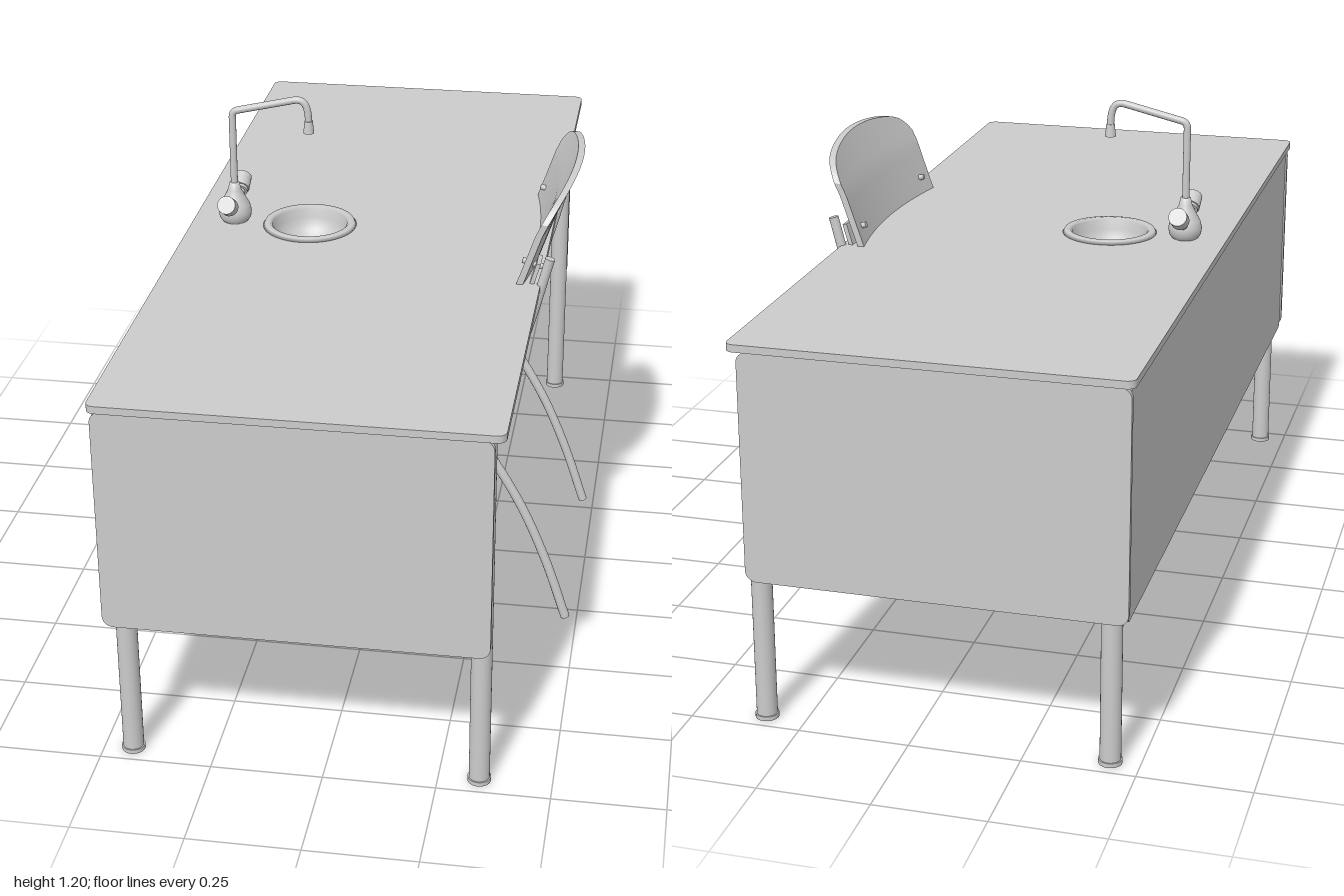
import * as THREE from 'three';

const mat = new THREE.MeshStandardMaterial({ color: 0xcccccc });
const matDouble = new THREE.MeshStandardMaterial({ color: 0xcccccc, side: THREE.DoubleSide });
const V = (x, y, z) => new THREE.Vector3(x, y, z);

function add(parent, name, geometry, x = 0, y = 0, z = 0, material = mat) {
  const mesh = new THREE.Mesh(geometry, material);
  mesh.name = name;
  mesh.position.set(x, y, z);
  parent.add(mesh);
  return mesh;
}

// Flat board with rounded corners, centred in its plane, extruded along z
function board(w, h, r, depth, hole) {
  const s = new THREE.Shape();
  const a = w / 2, b = h / 2;
  s.moveTo(-a + r, -b);
  s.lineTo(a - r, -b);
  s.absarc(a - r, -b + r, r, -Math.PI / 2, 0);
  s.absarc(a - r, b - r, r, 0, Math.PI / 2);
  s.absarc(-a + r, b - r, r, Math.PI / 2, Math.PI);
  s.absarc(-a + r, -b + r, r, Math.PI, Math.PI * 1.5);
  if (hole) s.holes.push(new THREE.Path().absarc(hole.x, hole.y, hole.r, 0, Math.PI * 2, true));
  return new THREE.ExtrudeGeometry(s, { depth, bevelEnabled: false, curveSegments: hole ? 24 : 8 });
}

// Round bar between two points
function rod(parent, name, from, to, r) {
  const dir = to.clone().sub(from);
  const mesh = add(parent, name, new THREE.CylinderGeometry(r, r, dir.length(), 20));
  mesh.position.copy(from).addScaledVector(dir, 0.5);
  mesh.quaternion.setFromUnitVectors(V(0, 1, 0), dir.normalize());
  return mesh;
}

// Bent tube with closed ends through points [x, y] at constant z
function bentTube(parent, name, pts, z, r) {
  const curve = new THREE.CatmullRomCurve3(pts.map(([x, y]) => V(x, y, z)), false, 'centripetal');
  const g = new THREE.Group();
  g.name = name;
  add(g, 'tube', new THREE.TubeGeometry(curve, 64, r, 14));
  for (const t of [0, 1]) {
    const d = curve.getTangent(t).multiplyScalar(t ? 0.002 : -0.002);
    rod(g, 'endCap', curve.getPoint(t), curve.getPoint(t).add(d), r);
  }
  parent.add(g);
}

// Unit box whose vertices are moved by rule(a, b, c), each in -1..1
function moulded(segs, rule) {
  const g = new THREE.BoxGeometry(2, 2, 2, ...segs);
  const p = g.attributes.position;
  for (let i = 0; i < p.count; i++) p.setXYZ(i, ...rule(p.getX(i), p.getY(i), p.getZ(i)));
  g.computeVertexNormals();
  return g;
}
const { lerp } = THREE.MathUtils;
const ease = (t) => Math.sin(t * Math.PI / 2);

function makeDesk() {
  const desk = new THREE.Group();
  desk.name = 'desk';
  const top = board(0.87, 2, 0.02, 0.017, { x: -0.15, y: 0, r: 0.096 });
  top.rotateX(-Math.PI / 2);
  add(desk, 'tableTop', top, -0.05, 0.862, 0);

  for (const s of [1, -1]) {
    add(desk, 'sidePanel', board(0.84, 0.522, 0.025, 0.013), -0.058, 0.601, s * 0.986 - 0.0065);
    for (const x of [-0.435, 0.34]) {
      add(desk, 'leg', new THREE.CylinderGeometry(0.023, 0.023, 0.852, 28), x, 0.436, s * 0.955);
      add(desk, 'legFoot', new THREE.CylinderGeometry(0.026, 0.026, 0.01, 28), x, 0.005, s * 0.955);
    }
  }
  const back = board(1.956, 0.522, 0.012, 0.015);
  back.rotateY(Math.PI / 2);
  add(desk, 'backPanel', back, -0.474, 0.601, 0);
  return desk;
}

function makeSink() {
  const sink = new THREE.Group();
  sink.name = 'sink';
  const profile = [[0, 0.792], [0.022, 0.794], [0.05, 0.806], [0.078, 0.832], [0.088, 0.86], [0.09, 0.882],
    [0.096, 0.888], [0.108, 0.887], [0.113, 0.879], [0.096, 0.876], [0.094, 0.858], [0.083, 0.828],
    [0.053, 0.8], [0.023, 0.786], [0, 0.786]];
  add(sink, 'basin', new THREE.LatheGeometry(profile.map(([r, y]) => new THREE.Vector2(r, y)), 48), 0, 0, 0, matDouble);
  add(sink, 'drain', new THREE.CylinderGeometry(0.018, 0.018, 0.006, 24), 0, 0.796, 0);
  add(sink, 'drainColumn', new THREE.CylinderGeometry(0.023, 0.023, 0.786, 28), 0, 0.398, 0);
  add(sink, 'columnFoot', new THREE.CylinderGeometry(0.025, 0.025, 0.01, 28), 0, 0.005, 0);
  sink.position.x = -0.2;
  return sink;
}

function makeTap() {
  const tap = new THREE.Group();
  tap.name = 'tap';
  const body = [[0, 0.878], [0.03, 0.878], [0.038, 0.89], [0.04, 0.905], [0.036, 0.922], [0.025, 0.942],
    [0.016, 0.96], [0.012, 0.978], [0, 0.978]];
  add(tap, 'tapBody', new THREE.LatheGeometry(body.map(([r, y]) => new THREE.Vector2(r, y)), 32));

  // Swan neck: upright, gently rising arm, hook down
  const neck = new THREE.CurvePath();
  neck.add(new THREE.LineCurve3(V(0, 0.97, 0), V(0, 1.145, 0)));
  neck.add(new THREE.QuadraticBezierCurve3(V(0, 1.145, 0), V(0, 1.16, 0), V(0.014, 1.163, 0)));
  neck.add(new THREE.LineCurve3(V(0.014, 1.163, 0), V(0.15, 1.195, 0)));
  neck.add(new THREE.CubicBezierCurve3(V(0.15, 1.195, 0), V(0.175, 1.2, 0), V(0.185, 1.185, 0), V(0.185, 1.14, 0)));
  add(tap, 'spout', new THREE.TubeGeometry(neck, 90, 0.0085, 14));
  add(tap, 'nozzle', new THREE.CylinderGeometry(0.01, 0.013, 0.03, 20), 0.185, 1.13, 0);

  // Hot and cold handles
  for (const s of [1, -1]) {
    rod(tap, 'handleStem', V(0, 0.912, s * 0.02), V(0, 0.94, s * 0.066), 0.013);
    rod(tap, 'handleCollar', V(0, 0.933, s * 0.054), V(0, 0.937, s * 0.062), 0.019);
    rod(tap, 'handleKnob', V(0, 0.937, s * 0.062), V(0, 0.956, s * 0.095), 0.022);
  }
  tap.position.x = -0.384;
  return tap;
}

function makeChair() {
  const chair = new THREE.Group();
  chair.name = 'chair';
  const legPath = [[-0.19, 0.006], [-0.125, 0.22], [-0.05, 0.46], [-0.012, 0.536], [0.035, 0.55], [0.16, 0.55],
    [0.21, 0.53], [0.262, 0.465], [0.355, 0.31], [0.42, 0.16], [0.472, 0.006]];
  const uprightPath = [[0.405, 0.943], [0.36, 0.77], [0.305, 0.6], [0.284, 0.556], [0.24, 0.54], [0.18, 0.538], [0, 0.538]];

  // Dished seat with a drooping front edge
  add(chair, 'seat', moulded([28, 1, 36], (a, b, c) => {
    const t = ease(c), u = (ease(a) + 1) / 2, q = t * t;
    const x = lerp(-0.2 + 0.03 * q + 0.06 * q ** 5, 0.275 - 0.05 * q - 0.06 * q ** 5, u);
    const y = 0.522 + 0.032 * q - 0.025 * Math.max(0, 1 - u * 4) ** 2 + 0.012 * Math.max(0, u * 3 - 2) ** 2;
    return [x, y + b * 0.006, t * 0.25];
  }));

  // Curved back rest, leaning backwards
  add(chair, 'backRest', moulded([1, 24, 36], (a, b, c) => {
    const t = ease(c), q = t * t, v = (ease(b) + 1) / 2;
    const y = lerp(0.768 + 0.065 * q + 0.035 * q ** 6, 1.097 - 0.034 * q - 0.035 * q ** 6, v);
    const x = 0.362 + 0.34 * (y - 0.875) + 0.12 * Math.max(0, y - 1) - 0.026 * q;
    return [x + a * 0.008, y, t * 0.272];
  }));

  for (const s of [1, -1]) {
    bentTube(chair, 'legTube', legPath, s * 0.287, 0.011);
    bentTube(chair, 'backUpright', uprightPath, s * 0.266, 0.0115);
    // Plates and screws holding the seat and back rest
    add(chair, 'seatBracket', new THREE.BoxGeometry(0.15, 0.006, 0.08), 0.09, 0.54, s * 0.24);
    const plate = add(chair, 'backBracket', new THREE.BoxGeometry(0.01, 0.09, 0.055), 0.367, 0.885, s * 0.237);
    plate.rotation.z = -0.28;
    for (const d of [-1, 1]) {
      add(chair, 'seatScrew', new THREE.CylinderGeometry(0.007, 0.007, 0.005, 14), 0.09 + d * 0.05, 0.553, s * 0.215);
      const screw = add(chair, 'backScrew', new THREE.CylinderGeometry(0.007, 0.007, 0.05, 14), 0.355 + d * 0.008, 0.885 + d * 0.028, s * 0.225);
      screw.rotation.z = Math.PI / 2 - 0.28;
    }
  }
  return chair;
}

export function createModel() {
  const model = new THREE.Group();
  model.name = 'sinkDeskWithChair';
  model.add(makeDesk(), makeSink(), makeTap(), makeChair());
  return model;
}
